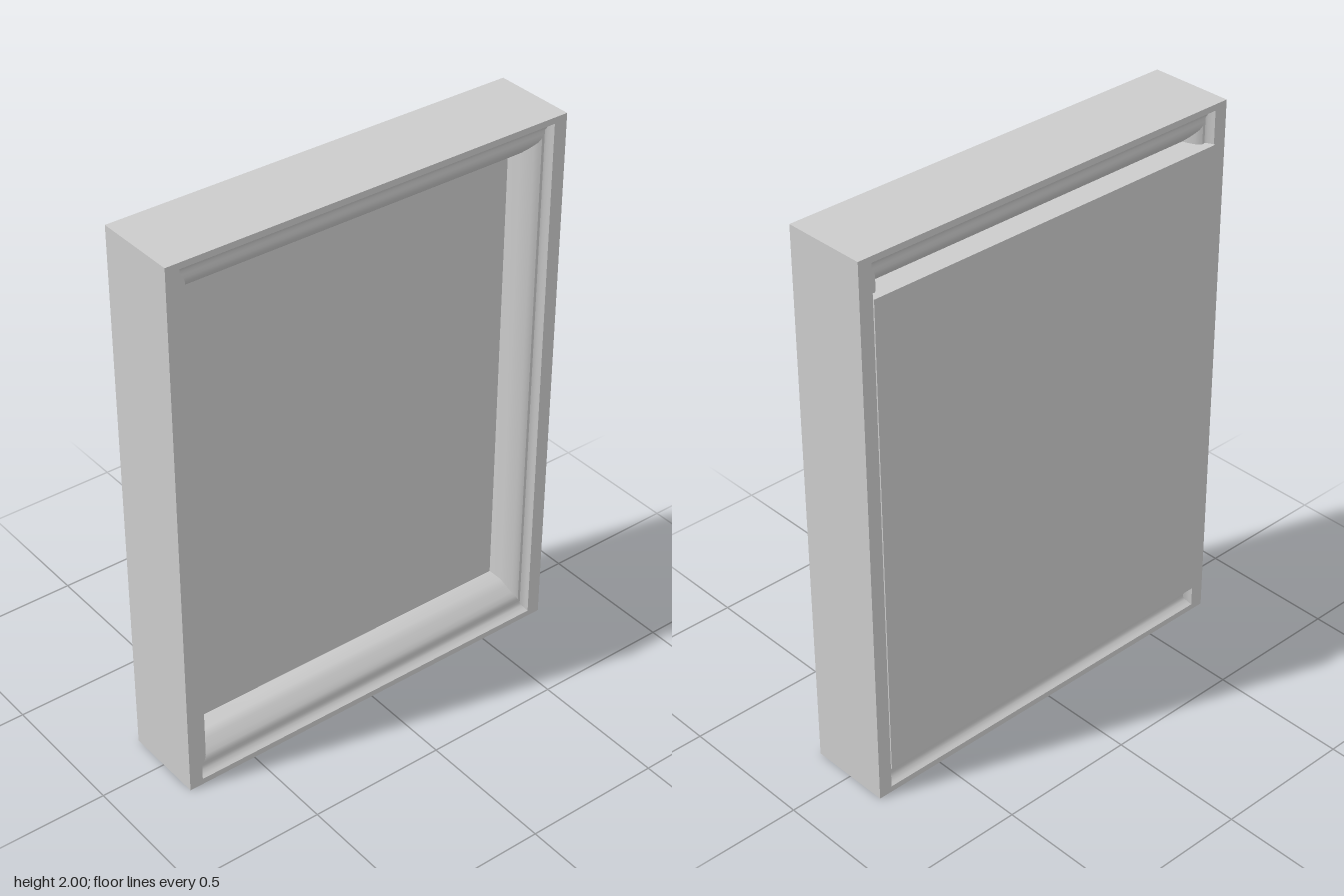
import * as THREE from 'three';
import { toCreasedNormals } from 'three/addons/utils/BufferGeometryUtils.js';

const HALF_WIDTH = 0.76;
const HEIGHT = 2;
const MID_X = 0.0025;

// Moulding section: [distance from mid depth, inset along z, inset along y]
const half = [
  [0.1525, 0, 0],
  [0.1525, 0.05, 0.022],
  [0.143, 0.054, 0.028],
  [0.131, 0.06, 0.038],
  [0.126, 0.066, 0.05],
  [0.127, 0.072, 0.062],
  [0.128, 0.078, 0.074],
  [0.122, 0.086, 0.088],
  [0.11, 0.094, 0.102],
  [0.09, 0.103, 0.122],
  [0.067, 0.11, 0.142],
];

// The section is the same front and back, joined by the inner and outer walls
const section = [...half, ...half.map(([x, z, y]) => [-x, z, y]).reverse()];

// Corners run counter-clockwise seen from +x: [z side, y side]
const corners = [[1, 0], [-1, 0], [-1, 1], [1, 1]];

function cornerPoint([d, insetZ, insetY], [sz, top]) {
  return [MID_X + d, top ? HEIGHT - insetY : insetY, sz * (HALF_WIDTH - insetZ)];
}

// One mitred rail between two neighbouring corners
function railGeometry(from, to) {
  const positions = [];
  const index = [];
  const n = section.length;
  for (const p of section) positions.push(...cornerPoint(p, from), ...cornerPoint(p, to));
  for (let i = 0; i < n; i++) {
    const a = 2 * i, b = a + 1;
    const d = 2 * ((i + 1) % n), c = d + 1;
    index.push(a, b, c, a, c, d);
  }
  const g = new THREE.BufferGeometry();
  g.setAttribute('position', new THREE.Float32BufferAttribute(positions, 3));
  g.setIndex(index);
  return toCreasedNormals(g, 0.75);
}

export function createModel() {
  const model = new THREE.Group();
  const material = new THREE.MeshStandardMaterial({ color: 0xcccccc });

  // Moulded frame
  const frame = new THREE.Group();
  frame.name = 'frame';
  const names = ['bottomRail', 'backRail', 'topRail', 'frontRail'];
  names.forEach((name, i) => {
    const rail = new THREE.Mesh(railGeometry(corners[i], corners[(i + 1) % 4]), material);
    rail.name = name;
    frame.add(rail);
  });
  model.add(frame);

  // Thick backing panel, standing slightly proud of the frame at -x
  const panel = new THREE.Mesh(new THREE.BoxGeometry(0.165, 1.76, 1.42), material);
  panel.name = 'panel';
  panel.position.set(-0.0725, 0.98, 0);
  model.add(panel);

  return model;
}
